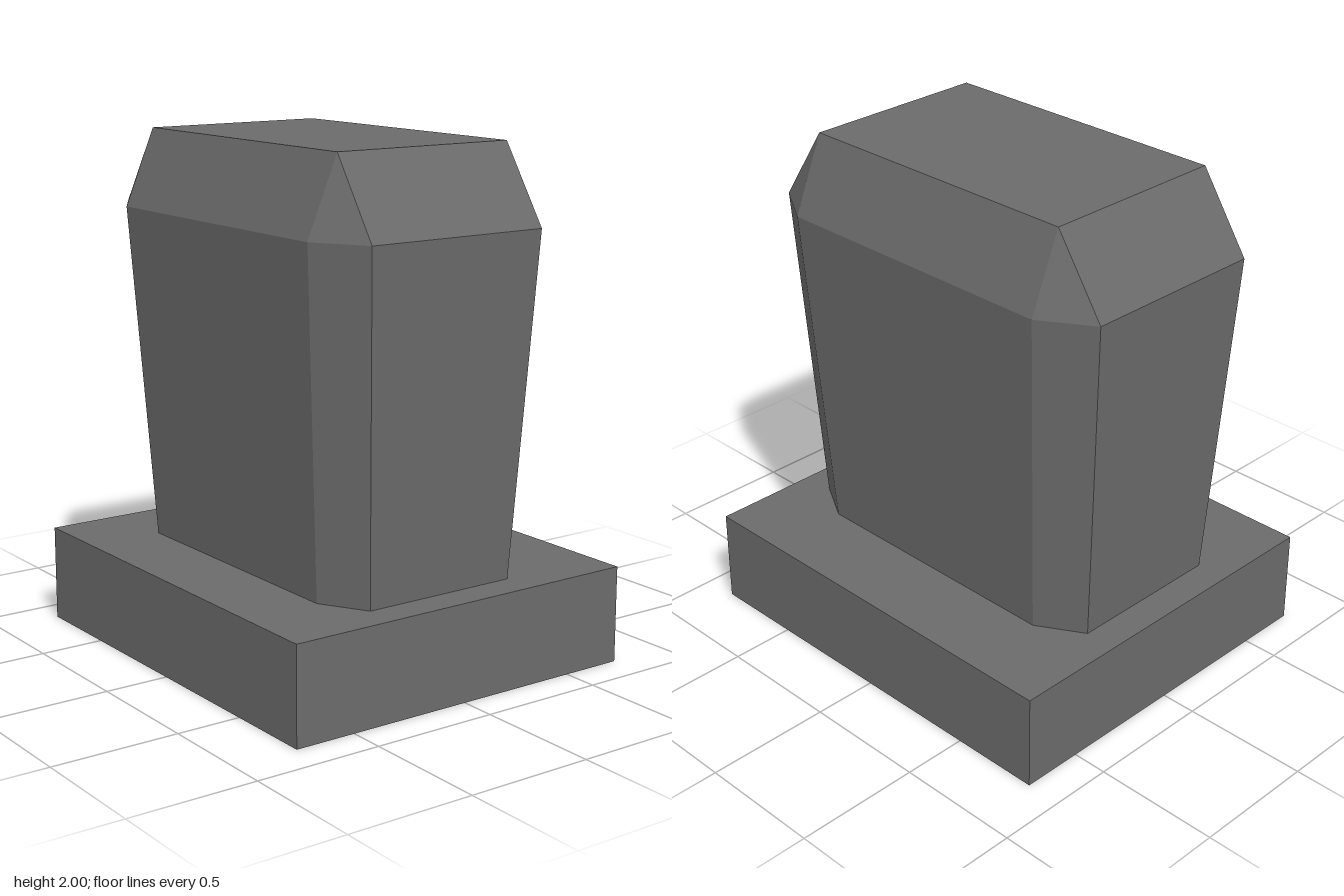
import * as THREE from 'three';

const stone = new THREE.MeshStandardMaterial({ color: 0x6b6b6b });
stone.name = 'grey stone';

// Rectangle with cut corners: hx, hz are the half sizes, fx, fz the half lengths of the straight sides
function ring({ y, hx, hz, fx, fz }) {
  return [[hx, fz], [hx, -fz], [fx, -hz], [-fx, -hz], [-hx, -fz], [-hx, fz], [-fx, hz], [fx, hz]]
    .map(([x, z]) => new THREE.Vector3(x, y, z));
}

// Faceted solid through a stack of rings, closed at both ends
function loft(sections) {
  const rings = sections.map(ring);
  const positions = [];
  const tri = (a, b, c) => {
    if (new THREE.Triangle(a, b, c).getArea() < 1e-6) return;
    for (const p of [a, b, c]) positions.push(p.x, p.y, p.z);
  };
  for (let k = 0; k < rings.length - 1; k++) {
    const lo = rings[k], hi = rings[k + 1];
    for (let i = 0; i < 8; i++) {
      const j = (i + 1) % 8;
      tri(lo[i], lo[j], hi[j]);
      tri(lo[i], hi[j], hi[i]);
    }
  }
  const bottom = rings[0], top = rings[rings.length - 1];
  for (let i = 1; i < 7; i++) {
    tri(top[0], top[i], top[i + 1]);
    tri(bottom[0], bottom[i + 1], bottom[i]);
  }
  const geometry = new THREE.BufferGeometry();
  geometry.setAttribute('position', new THREE.Float32BufferAttribute(positions, 3));
  geometry.computeVertexNormals();
  return geometry;
}

export function createModel() {
  const model = new THREE.Group();
  model.name = 'stonePillar';

  // Flat plinth
  const plinth = new THREE.Mesh(new THREE.BoxGeometry(1.49, 0.38, 1.72), stone);
  plinth.name = 'plinth';
  plinth.position.y = 0.19;
  model.add(plinth);

  // Flaring block with cut corners and a bevelled top, slightly off centre
  const block = new THREE.Mesh(loft([
    { y: 0.38, hx: 0.425, hz: 0.73, fx: 0.32, fz: 0.55 },
    { y: 1.7, hx: 0.505, hz: 0.81, fx: 0.38, fz: 0.61 },
    { y: 2, hx: 0.38, hz: 0.61, fx: 0.38, fz: 0.61 },
  ]), stone);
  block.name = 'block';
  block.position.x = -0.015;
  model.add(block);

  return model;
}
